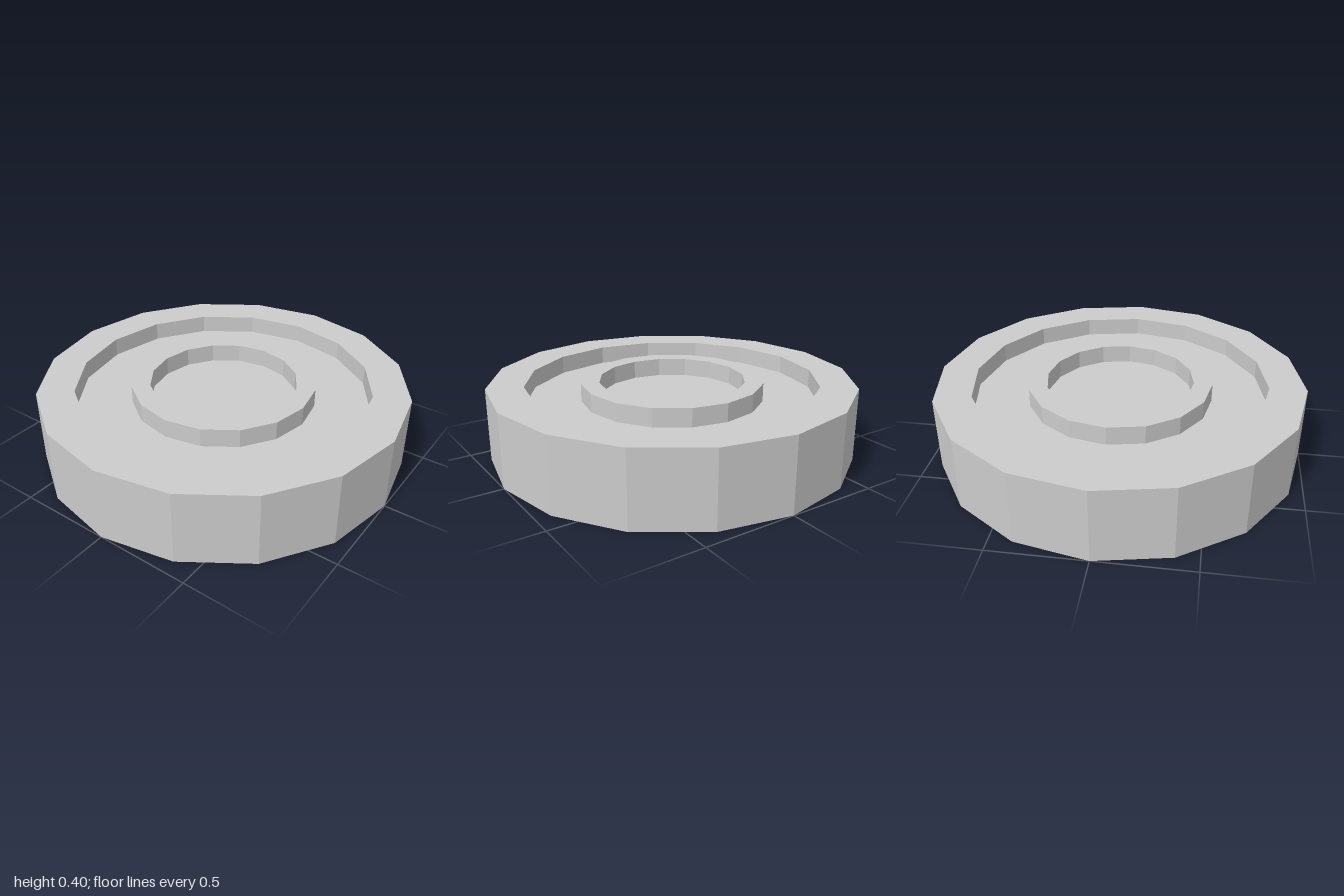
import * as THREE from 'three';

const SIDES = 16;
const TOP = 0.4;
const FLOOR = 0.3;

export function createModel() {
  const group = new THREE.Group();
  group.name = 'groovedDisc';

  // Half section, from the underside centre, over both raised rings, to the recess centre
  const profile = [
    [0, 0], [1, 0],
    [1, TOP], [0.8, TOP], [0.8, FLOOR], // outer rim
    [0.5, FLOOR], [0.5, TOP], [0.4, TOP], [0.4, FLOOR], // inner ring
    [0, FLOOR],
  ].map(([r, y]) => new THREE.Vector2(r, y));

  const body = new THREE.Mesh(
    new THREE.LatheGeometry(profile, SIDES),
    new THREE.MeshStandardMaterial({ color: 0xcccccc, flatShading: true }),
  );
  body.name = 'discBody';
  group.add(body);
  return group;
}
